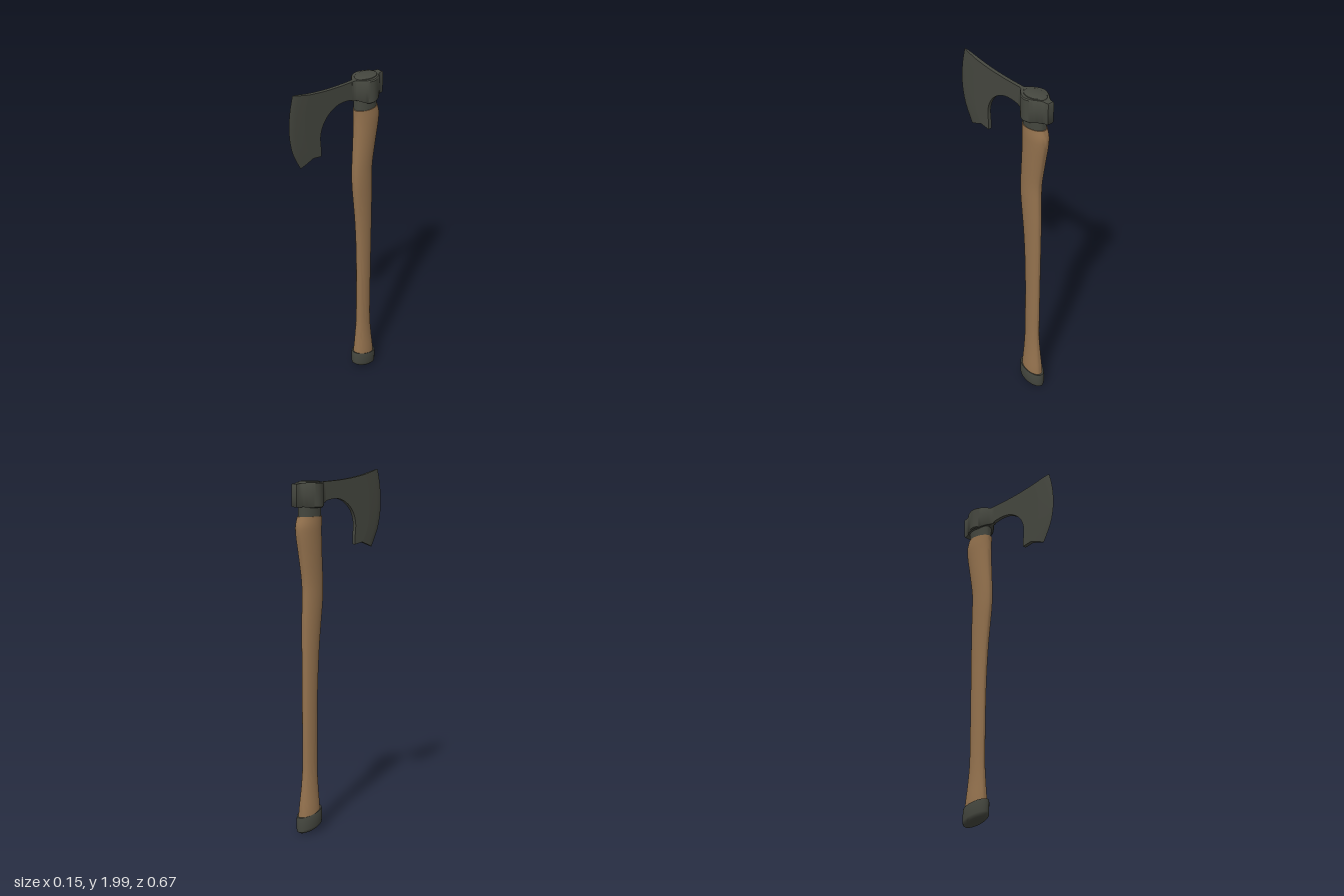
import * as THREE from 'three';
import { toCreasedNormals } from 'three/addons/utils/BufferGeometryUtils.js';

const iron = new THREE.MeshStandardMaterial({ color: 0x45473f });
iron.name = 'darkIron';
const wood = new THREE.MeshStandardMaterial({ color: 0x94724e });
wood.name = 'wood';

// Skin a list of closed rings (equal point counts) and close both ends.
function loft(rings, crease = 0.7) {
  const n = rings[0].length, pos = [], idx = [];
  rings.forEach(r => r.forEach(p => pos.push(p.x, p.y, p.z)));
  for (let i = 0; i < rings.length - 1; i++) {
    for (let j = 0; j < n; j++) {
      const a = i * n + j, b = i * n + (j + 1) % n;
      idx.push(a, a + n, b, b, a + n, b + n);
    }
  }
  [0, rings.length - 1].forEach((row, end) => {
    const c = new THREE.Vector3();
    rings[row].forEach(p => c.addScaledVector(p, 1 / n));
    const k = pos.length / 3;
    pos.push(c.x, c.y, c.z);
    for (let j = 0; j < n; j++) {
      const a = row * n + j, b = row * n + (j + 1) % n;
      idx.push(...(end ? [k, b, a] : [k, a, b]));
    }
  });
  // Turn the faces outward if the enclosed volume comes out negative.
  const v = i => new THREE.Vector3().fromArray(pos, i * 3);
  let volume = 0;
  for (let i = 0; i < idx.length; i += 3) {
    volume += v(idx[i]).dot(v(idx[i + 1]).cross(v(idx[i + 2])));
  }
  if (volume < 0) idx.reverse();
  const g = new THREE.BufferGeometry();
  g.setAttribute('position', new THREE.Float32BufferAttribute(pos, 3));
  g.setIndex(idx);
  return toCreasedNormals(g, crease);
}

// Oval ring at height y from front z to back z, optionally tilted along z.
function oval(y, halfX, front, back, slope = 0, n = 32) {
  const mid = (front + back) / 2, halfZ = (front - back) / 2;
  return Array.from({ length: n }, (_, i) => {
    const a = (i / n) * Math.PI * 2, dz = Math.cos(a) * halfZ;
    return new THREE.Vector3(Math.sin(a) * halfX, y + slope * dz, mid + dz);
  });
}

// Smooth curve through 2D points.
const smooth = (pts, n) =>
  new THREE.SplineCurve(pts.map(p => new THREE.Vector2(...p))).getPoints(n);

export function createModel() {
  const group = new THREE.Group();
  const add = (name, geometry, material) => {
    const m = new THREE.Mesh(geometry, material);
    m.name = name;
    group.add(m);
  };

  // Curved wooden handle: height, half width, front z, back z
  const stations = [
    [0.08, 0.046, -0.163, -0.308], [0.14, 0.044, -0.166, -0.303],
    [0.24, 0.036, -0.173, -0.291], [0.35, 0.031, -0.179, -0.281],
    [0.58, 0.029, -0.178, -0.28], [0.82, 0.03, -0.174, -0.28],
    [1.05, 0.033, -0.161, -0.28], [1.18, 0.036, -0.148, -0.279],
    [1.3, 0.039, -0.136, -0.276], [1.4, 0.041, -0.135, -0.276],
    [1.55, 0.047, -0.143, -0.297], [1.66, 0.051, -0.147, -0.315],
    [1.71, 0.052, -0.147, -0.317], [1.76, 0.05, -0.145, -0.303],
  ];
  const along = k => new THREE.CatmullRomCurve3(
    stations.map(s => new THREE.Vector3(s[0], s[1], s[k])));
  const frontLine = along(2).getPoints(52), backLine = along(3).getPoints(52);
  add('handle', loft(frontLine.map((p, i) => oval(p.x, p.y, p.z, backLine[i].z))), wood);

  // Dark neck of the handle, passing through the eye and ending in a low dome
  add('handleNeck', loft([
    oval(1.75, 0.047, -0.15, -0.297), oval(1.82, 0.049, -0.151, -0.296),
    oval(1.938, 0.053, -0.153, -0.296), oval(1.944, 0.05, -0.157, -0.292),
    oval(1.948, 0.04, -0.17, -0.279),
  ]), iron);

  // Slanted butt cap
  const tilt = 0.25;
  add('buttCap', loft([
    oval(0.114, 0.046, -0.16, -0.311, tilt), oval(0.117, 0.051, -0.154, -0.317, tilt),
    oval(0.107, 0.053, -0.152, -0.319, tilt), oval(0.045, 0.053, -0.152, -0.32, tilt),
    oval(0.033, 0.05, -0.154, -0.318, tilt), oval(0.024, 0.042, -0.166, -0.308, tilt),
    oval(0.019, 0.026, -0.195, -0.279, tilt),
  ]), iron);

  // Eye of the axe head with a narrow poll at the back
  const half = smooth([
    [0.011, -0.112], [0.015, -0.13], [0.035, -0.149], [0.06, -0.178], [0.073, -0.215],
    [0.065, -0.25], [0.046, -0.282], [0.029, -0.303], [0.022, -0.318], [0.02, -0.338],
  ], 36);
  const outline = [...half, ...half.slice().reverse().map(p => new THREE.Vector2(-p.x, p.y))];
  const lowerEdge = z => 1.806 + 0.024 * THREE.MathUtils.smoothstep(z, -0.2, -0.12)
    + 0.006 * THREE.MathUtils.smoothstep(-z, 0.24, 0.3);
  const upperEdge = z => 1.941 - 0.006 * THREE.MathUtils.smoothstep(-z, 0.28, 0.33);
  const eyeRing = (t, inset, lift) => outline.map(p => {
    const z = -0.22 + (p.y + 0.22) * (1 - inset * 0.4);
    return new THREE.Vector3(p.x * (1 - inset),
      THREE.MathUtils.lerp(lowerEdge(p.y), upperEdge(p.y), t) + lift, z);
  });
  add('headEye', loft([
    eyeRing(0, 0.08, 0), eyeRing(0, 0, 0.006), eyeRing(0.5, 0, 0),
    eyeRing(1, 0, -0.006), eyeRing(1, 0.08, 0),
  ]), iron);

  // Blade body (drawn as z, y) up to the start of the bevel
  const thick = 0.0105;
  const edge = smooth([[0.307, 2.0], [0.326, 1.92], [0.335, 1.83], [0.33, 1.745],
    [0.308, 1.66], [0.26, 1.565]], 24);
  const bevelStart = smooth([[0.2, 1.973], [0.222, 1.91], [0.233, 1.83], [0.23, 1.745],
    [0.212, 1.66], [0.175, 1.597]], 24);
  const top = smooth([[-0.15, 1.941], [-0.02, 1.946], [0.1, 1.957], [0.2, 1.973]], 12);
  const beard = smooth([[0.116, 1.587], [0.117, 1.64], [0.121, 1.7], [0.106, 1.757],
    [0.072, 1.803], [0.02, 1.836], [-0.035, 1.847], [-0.1, 1.84], [-0.15, 1.82]], 32);
  const body = new THREE.ExtrudeGeometry(
    new THREE.Shape([...top, ...bevelStart.slice(1), ...beard]),
    { depth: thick * 2, bevelEnabled: false });
  body.translate(0, 0, -thick).rotateY(-Math.PI / 2);
  add('bladeBody', toCreasedNormals(body, 0.6), iron);

  // Cutting edge: thins from the body to a sharp line
  const profile = [[0, 1], [0.6, 0.75], [0.85, 0.45], [1, 0.02],
    [0.85, -0.45], [0.6, -0.75], [0, -1]];
  add('cuttingEdge', loft(edge.map((e, i) => profile.map(([t, w]) => {
    const p = bevelStart[i].clone().lerp(e, t);
    return new THREE.Vector3(w * thick, p.y, p.x);
  }))), iron);

  return group;
}
